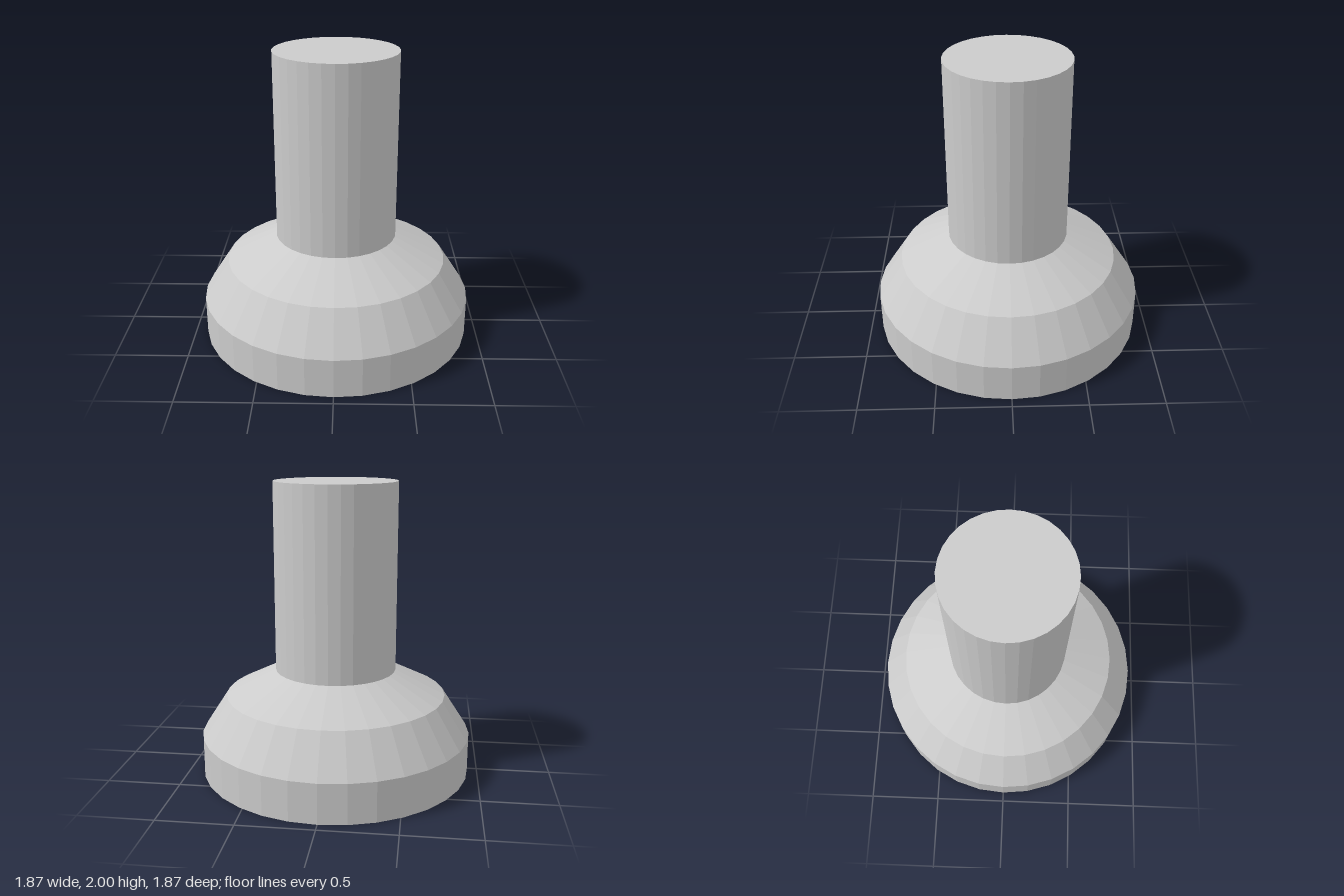
import * as THREE from 'three';

const SIDES = 32;

export function createModel() {
  const group = new THREE.Group();
  const material = new THREE.MeshStandardMaterial({ color: 0xcccccc, flatShading: true });

  // Revolve a [radius, height] profile around the vertical axis
  const addTurned = (name, profile) => {
    const points = profile.map(([r, y]) => new THREE.Vector2(r, y));
    const mesh = new THREE.Mesh(new THREE.LatheGeometry(points, SIDES), material);
    mesh.name = name;
    group.add(mesh);
  };

  // Blind hole with a conical end, underside, rim and two sloped shoulders
  addTurned('flaredBase', [
    [0, 0.45], [0.26, 0.25], [0.26, 0],
    [0.935, 0], [0.935, 0.27], [0.76, 0.54], [0.417, 0.713],
  ]);

  // Straight shaft with a flat top
  addTurned('shaft', [[0.417, 0.713], [0.417, 2], [0, 2]]);

  return group;
}
